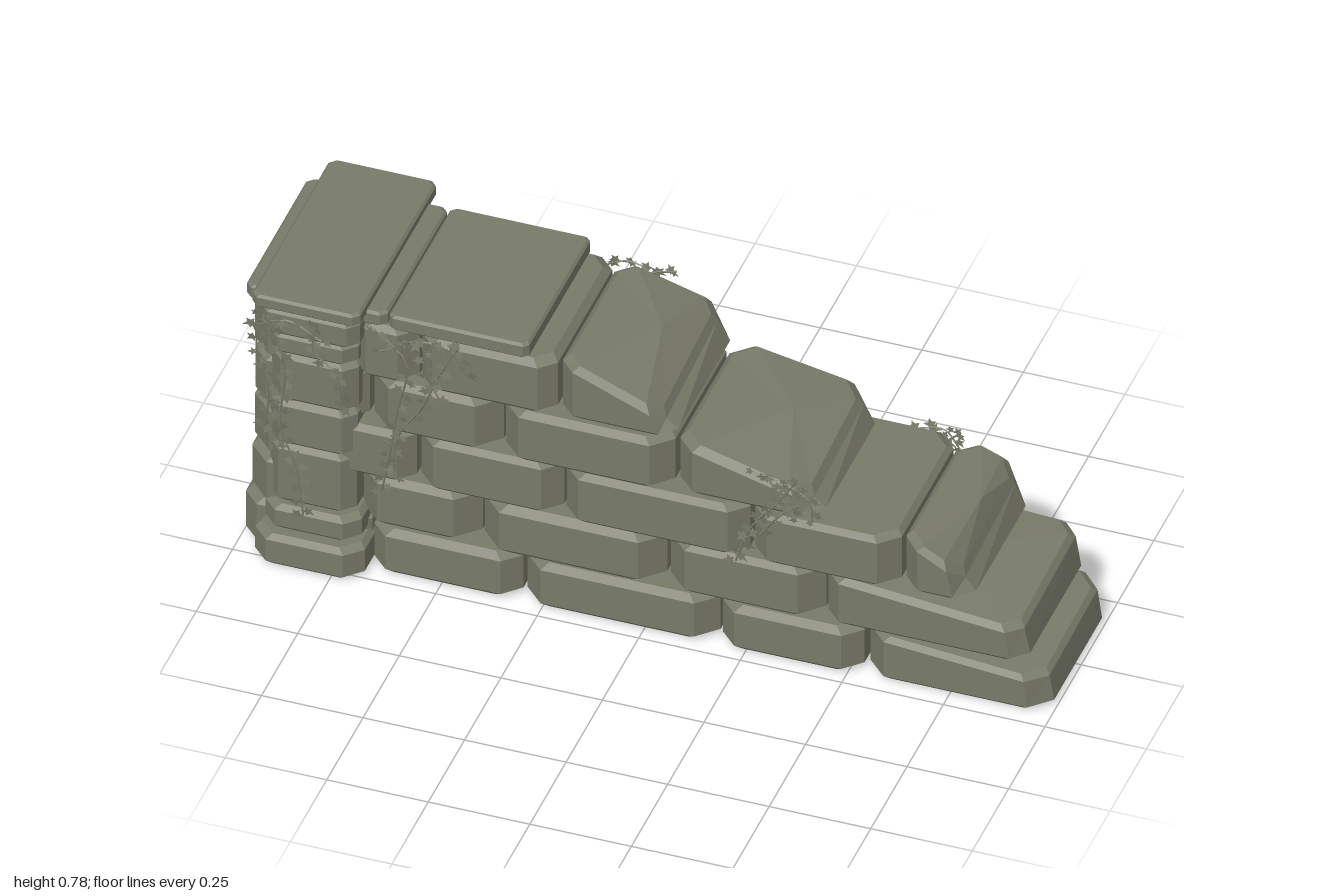
import * as THREE from 'three';
import { mergeGeometries } from 'three/addons/utils/BufferGeometryUtils.js';

const stone = new THREE.MeshStandardMaterial({ color: 0x787a69, flatShading: true, side: THREE.DoubleSide });
stone.name = 'mossy stone';

let seed = 7;
const rand = () => (seed = (seed * 16807) % 2147483647) / 2147483647;

// Stone block: stacked eight-sided rings; a broken block has its +x top worn down by drop
function block(name, [x0, x1], [y0, y1], [z0, z1], { cut = 0.045, bevel = 0.014, drop = 0, power = 2 } = {}) {
  const ring = (y, inset, worn) => {
    const a = x0 + inset, b = x1 - inset, c = z0 + inset, d = z1 - inset, k = cut;
    const corners = [[b, d - k], [b, c + k], [b - k, c], [a + k, c], [a, c + k], [a, d - k], [a + k, d], [b - k, d]];
    return corners.map(([x, z]) => {
      const t = (x - x0) / (x1 - x0);
      const fall = worn ? drop * Math.pow(t, power) * (z > 0 ? 1.1 : 0.75) : 0;
      const lean = worn ? Math.min(0.03, drop * 0.35) * t * t : 0;
      return [x - lean, y - fall, z];
    });
  };
  const rings = [ring(y0, bevel, false), ring(y0 + bevel, 0, false), ring(y1 - bevel, 0, true), ring(y1, bevel, true)];
  const pos = [];
  const tri = (...pts) => pts.forEach(p => pos.push(...p));
  for (let r = 0; r < 3; r++) {
    for (let i = 0; i < 8; i++) {
      const j = (i + 1) % 8, lo = rings[r], hi = rings[r + 1];
      tri(lo[i], lo[j], hi[j]);
      tri(lo[i], hi[j], hi[i]);
    }
  }
  const mid = (x0 + x1) / 2;
  const top = [mid + (drop ? 0.03 : 0), y1 - drop * 0.18, drop ? -0.03 : 0];
  for (let i = 0; i < 8; i++) {
    const j = (i + 1) % 8;
    tri(rings[3][i], rings[3][j], top);
    tri(rings[0][j], rings[0][i], [mid, y0, 0]);
  }
  const geo = new THREE.BufferGeometry();
  geo.setAttribute('position', new THREE.Float32BufferAttribute(pos, 3));
  geo.computeVertexNormals();
  const mesh = new THREE.Mesh(geo, stone);
  mesh.name = name;
  return mesh;
}

// Five-lobed leaf outline
function leafGeometry(size) {
  const shape = new THREE.Shape();
  for (let i = 0; i < 10; i++) {
    const r = size * (i % 2 ? 0.45 : i === 0 ? 1.15 : 0.9);
    const a = Math.PI / 2 + i * Math.PI / 5;
    shape[i ? 'lineTo' : 'moveTo'](Math.cos(a) * r, Math.sin(a) * r);
  }
  return new THREE.ShapeGeometry(shape);
}

// Ivy: thin stems with leaves set alternately along them
function ivy(name, z, strands) {
  const parts = [];
  for (const strand of strands) {
    const curve = new THREE.CatmullRomCurve3(strand.map(([x, y]) => new THREE.Vector3(x, y, z)));
    parts.push(new THREE.TubeGeometry(curve, 16, 0.0025, 4).toNonIndexed());
    const count = Math.max(4, Math.round(curve.getLength() / 0.02));
    for (let i = 0; i <= count; i++) {
      const p = curve.getPointAt(i / count);
      const side = i % 2 ? 1 : -1;
      const leaf = leafGeometry(0.012 + rand() * 0.007);
      leaf.rotateZ(Math.PI + side * (0.6 + rand()));
      leaf.rotateX((rand() - 0.5) * 0.5);
      leaf.rotateY((rand() - 0.5) * 0.5);
      leaf.translate(p.x + side * (0.006 + rand() * 0.01), p.y + (rand() - 0.5) * 0.01, z + Math.sign(z) * 0.002);
      parts.push(leaf.toNonIndexed());
    }
  }
  const mesh = new THREE.Mesh(mergeGeometries(parts), stone);
  mesh.name = name;
  return mesh;
}

export function createModel() {
  const model = new THREE.Group();
  model.name = 'ruined wall';

  // Courses: joints along x; the last block of each course is broken
  const courses = [
    { y: [0, 0.128], x: [-1, -0.68, -0.305, 0.178, 0.535, 0.995], drop: 0.032, power: 1 },
    { y: [0.13, 0.27], x: [-0.985, -0.715, -0.412, 0.045, 0.435, 0.94], drop: 0.04, power: 1 },
    { y: [0.273, 0.416], x: [-0.98, -0.8, -0.565, -0.205, 0.255, 0.625, 0.805], drop: 0.075, power: 2 },
    { y: [0.416, 0.561], x: [-0.975, -0.685, -0.358, 0.068, 0.435], drop: 0.08, power: 2 },
    { y: [0.562, 0.718], x: [-0.975, -0.73, -0.56, -0.218, 0.075], drop: 0.095, power: 2 },
  ];
  const wall = new THREE.Group();
  wall.name = 'wallCourses';
  courses.forEach(({ y, x, drop, power }) => {
    for (let i = 0; i < x.length - 1; i++) {
      const last = i === x.length - 2;
      const front = last ? 0.21 : 0.21 + rand() * 0.015;
      const back = last ? -0.218 : -0.213 - rand() * 0.015;
      const options = { cut: 0.035 + rand() * 0.02, bevel: 0.012 + rand() * 0.006 };
      if (last) Object.assign(options, { drop, power });
      wall.add(block(last ? 'brokenBlock' : 'wallBlock', [x[i] + 0.004, x[i + 1] - 0.004], y, [back, front], options));
    }
  });
  model.add(wall);

  // Pier, stacked from the plinth up
  const pier = new THREE.Group();
  pier.name = 'pier';
  const courseList = [
    ['pierPlinth', [-0.948, -0.678], [0, 0.088], [-0.285, 0.28], 0.04],
    ['pierBase', [-0.93, -0.692], [0.09, 0.16], [-0.26, 0.255], 0.035],
    ['pierBlock', [-0.922, -0.708], [0.16, 0.328], [-0.245, 0.238], 0.03],
    ['pierBlock', [-0.92, -0.705], [0.33, 0.458], [-0.247, 0.242], 0.03],
    ['pierBlock', [-0.916, -0.702], [0.46, 0.597], [-0.246, 0.243], 0.03],
    ['pierNeck', [-0.92, -0.7], [0.6, 0.664], [-0.26, 0.25], 0.03],
    ['pierCollar', [-0.935, -0.69], [0.664, 0.742], [-0.272, 0.264], 0.025],
    ['pierCap', [-0.948, -0.683], [0.742, 0.777], [-0.28, 0.272], 0.015],
  ];
  courseList.forEach(([name, x, y, z, cut]) => pier.add(block(name, x, y, z, { cut, bevel: name === 'pierCap' ? 0.006 : 0.013 })));
  model.add(pier);

  // Coping slabs beside the pier
  model.add(block('copingSlab', [-0.63, -0.285], [0.716, 0.757], [-0.225, 0.217], { cut: 0.012, bevel: 0.006 }));
  model.add(block('copingEnd', [-0.982, -0.635], [0.716, 0.755], [-0.222, 0.215], { cut: 0.015, bevel: 0.006 }));

  // Ivy on both faces
  model.add(ivy('pierIvy', 0.281, [
    [[-0.92, 0.74], [-0.93, 0.64], [-0.9, 0.52], [-0.91, 0.4]],
    [[-0.9, 0.72], [-0.86, 0.6], [-0.87, 0.42], [-0.83, 0.3], [-0.815, 0.17]],
    [[-0.78, 0.74], [-0.79, 0.66], [-0.73, 0.6], [-0.72, 0.5]],
    [[-0.93, 0.7], [-0.85, 0.73], [-0.77, 0.69]],
  ]));
  model.add(ivy('frontWallIvy', 0.23, [
    [[-0.66, 0.72], [-0.58, 0.64], [-0.6, 0.5], [-0.62, 0.36], [-0.64, 0.25]],
    [[-0.64, 0.66], [-0.55, 0.71], [-0.46, 0.7], [-0.43, 0.64]],
    [[-0.45, 0.72], [-0.5, 0.62], [-0.54, 0.52], [-0.6, 0.42], [-0.61, 0.3]],
    [[-0.54, 0.7], [-0.52, 0.6], [-0.49, 0.54]],
  ]));
  model.add(ivy('frontStepIvy', 0.226, [
    [[0.28, 0.54], [0.34, 0.53], [0.41, 0.49], [0.42, 0.43]],
    [[0.38, 0.54], [0.33, 0.46], [0.27, 0.38], [0.23, 0.27]],
    [[0.4, 0.48], [0.34, 0.43], [0.29, 0.36]],
    [[0.31, 0.53], [0.35, 0.47], [0.38, 0.43]],
  ]));
  model.add(ivy('backWallIvy', -0.235, [
    [[-0.08, 0.7], [-0.16, 0.67], [-0.22, 0.58], [-0.2, 0.5]],
    [[-0.1, 0.62], [-0.18, 0.7], [-0.27, 0.66], [-0.3, 0.56]],
    [[-0.38, 0.7], [-0.34, 0.58], [-0.36, 0.44], [-0.32, 0.3], [-0.31, 0.17]],
    [[-0.4, 0.66], [-0.39, 0.56], [-0.36, 0.48]],
  ]));
  model.add(ivy('backStepIvy', -0.233, [
    [[0.62, 0.41], [0.57, 0.36], [0.53, 0.28], [0.52, 0.18]],
    [[0.52, 0.4], [0.58, 0.41], [0.62, 0.36]],
  ]));
  return model;
}
